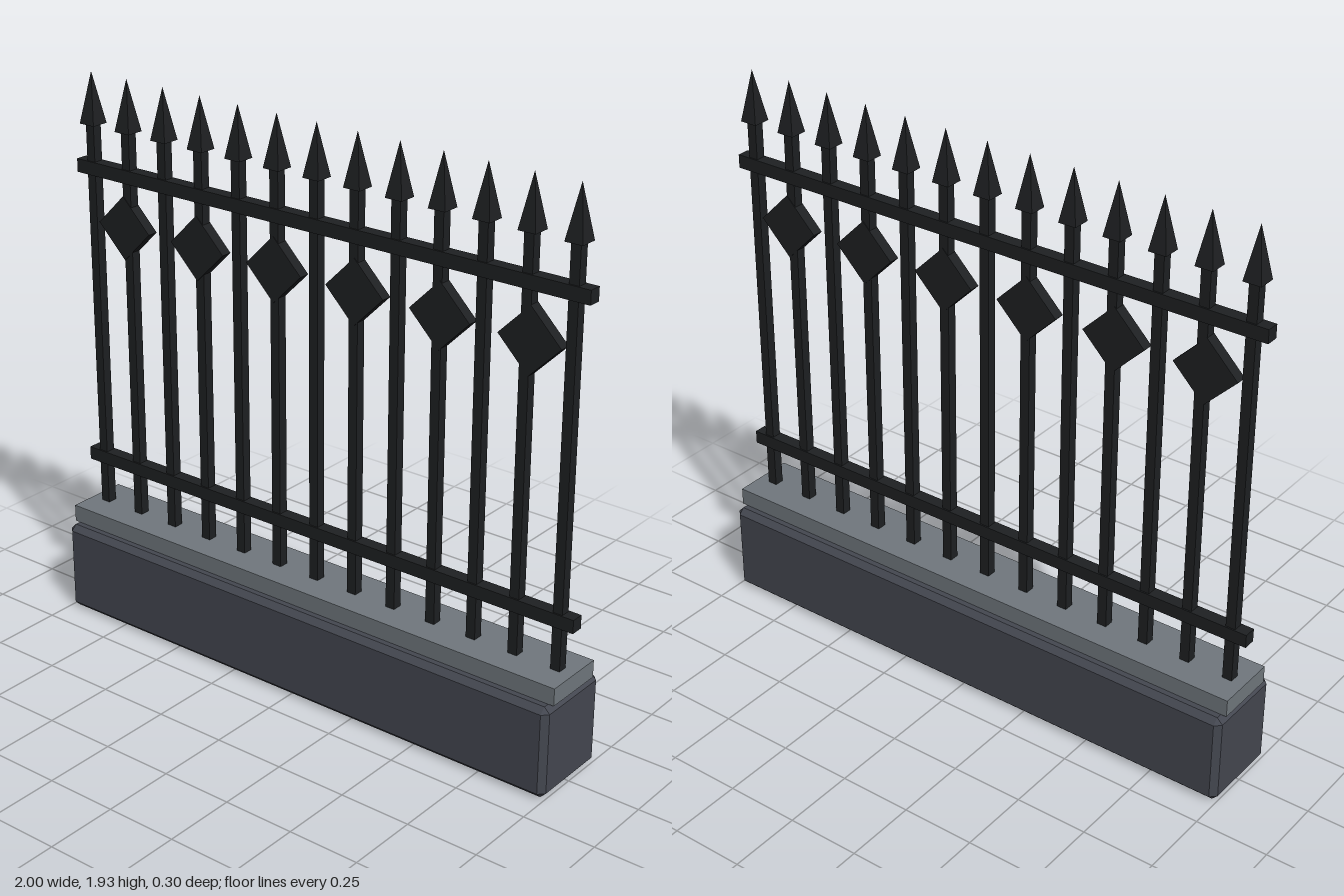
import * as THREE from 'three';
import { ConvexGeometry } from 'three/addons/geometries/ConvexGeometry.js';

const iron = new THREE.MeshStandardMaterial({ color: 0x1e2022, flatShading: true });
const stone = new THREE.MeshStandardMaterial({ color: 0x444750, flatShading: true });
const slab = new THREE.MeshStandardMaterial({ color: 0x70777d, flatShading: true });

// Box with every edge cut by c: the hull of three overlapping inset boxes
function chamferedBox(w, h, d, c) {
  const points = [];
  for (const x of [-w / 2, w / 2]) for (const y of [-h / 2, h / 2]) for (const z of [-d / 2, d / 2]) {
    const ix = x - Math.sign(x) * c, iy = y - Math.sign(y) * c, iz = z - Math.sign(z) * c;
    points.push(new THREE.Vector3(x, iy, iz), new THREE.Vector3(ix, y, iz), new THREE.Vector3(ix, iy, z));
  }
  return new ConvexGeometry(points);
}

export function createModel() {
  const fence = new THREE.Group();
  fence.name = 'fence';
  const add = (name, geometry, material, x, y) => {
    const mesh = new THREE.Mesh(geometry, material);
    mesh.name = name;
    mesh.position.set(x, y, 0);
    fence.add(mesh);
    return mesh;
  };

  // Stone plinth and its coping
  add('plinth', chamferedBox(2, 0.32, 0.3, 0.02), stone, 0, 0.16);
  add('coping', new THREE.BoxGeometry(2, 0.06, 0.22), slab, 0, 0.35);

  // Horizontal rails
  const rail = new THREE.BoxGeometry(2, 0.046, 0.044);
  add('lowerRail', rail, iron, 0, 0.552);
  add('upperRail', rail, iron, 0, 1.602);

  // Pickets, each with a square pyramid spike
  const picket = new THREE.BoxGeometry(0.034, 1.375, 0.034);
  const spike = new THREE.ConeGeometry(0.031 * Math.SQRT2, 0.175, 4).rotateY(Math.PI / 4);
  for (let i = 0; i < 13; i++) {
    const x = (i - 6) * 0.1567;
    add('picket', picket, iron, x, 1.0675);
    add('spike', spike, iron, x, 1.839);
  }

  // Diamond plates below the upper rail
  const diamond = new THREE.BoxGeometry(0.157, 0.157, 0.038).rotateZ(Math.PI / 4);
  for (let i = 0; i < 6; i++) add('diamond', diamond, iron, (i - 2.5) * 0.32, 1.422);

  return fence;
}
